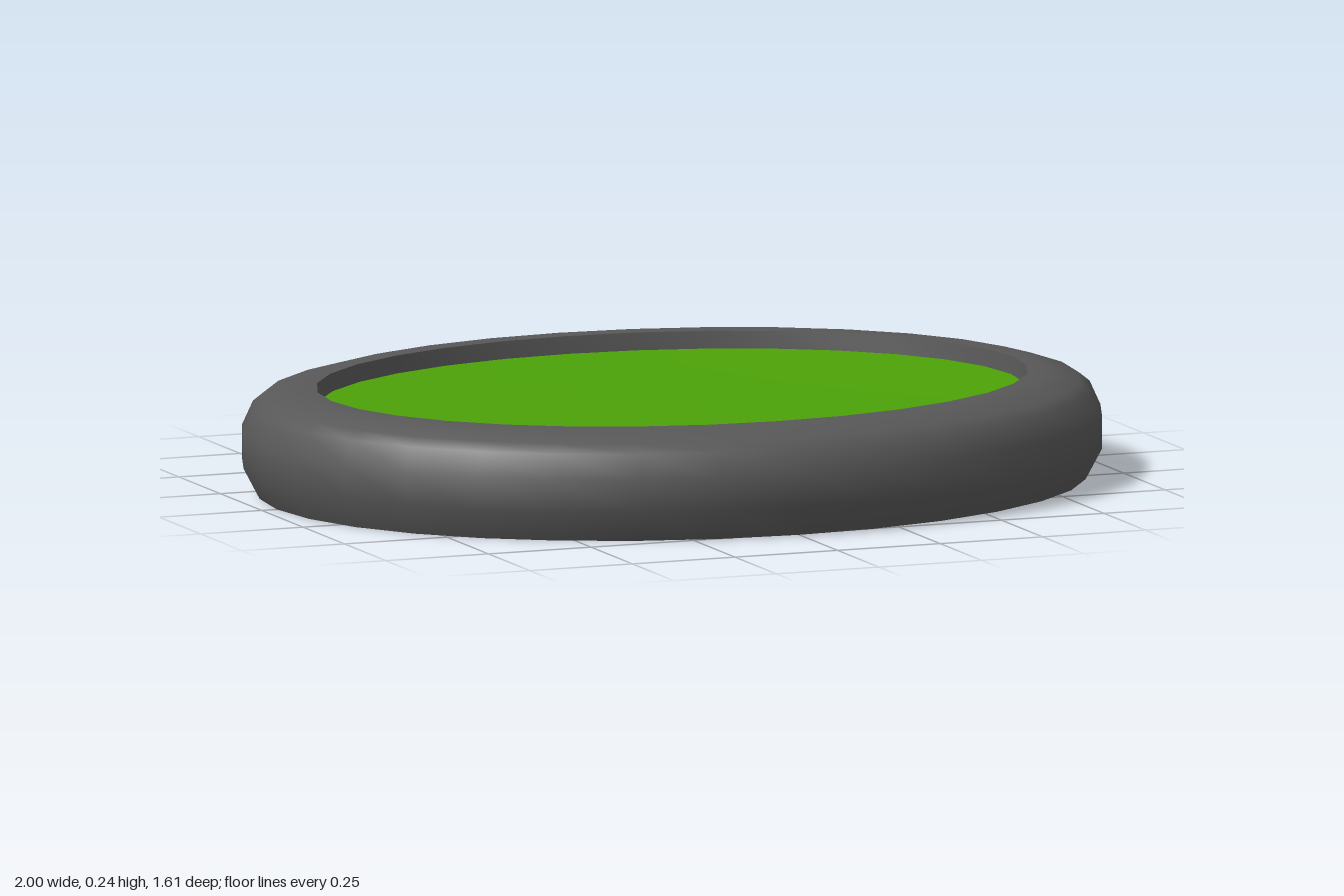
import * as THREE from 'three';
import { toCreasedNormals, mergeVertices } from 'three/addons/utils/BufferGeometryUtils.js';

const SIDES = 32;
const OVAL = 0.195; // how much shorter the oval is in depth than in width

// Sweep a profile around an oval, keeping its width the same all the way round
function ovalSweep(profile) {
  const geo = new THREE.LatheGeometry(profile.map(([r, y]) => new THREE.Vector2(r, y)), SIDES);
  const pos = geo.attributes.position;
  for (let i = 0; i < pos.count; i++) {
    const r = Math.hypot(pos.getX(i), pos.getZ(i));
    pos.setZ(i, pos.getZ(i) * (r - OVAL) / r);
  }
  geo.deleteAttribute('uv');
  geo.deleteAttribute('normal');
  return toCreasedNormals(mergeVertices(geo), 0.8);
}

// Flat oval facing down
function ovalBase(r) {
  const geo = new THREE.CircleGeometry(r, SIDES);
  geo.scale(1, (r - OVAL) / r, 1);
  geo.rotateX(Math.PI / 2);
  return geo;
}

// Shallow oval dish facing up, sinking by dip at its centre
function ovalDish(r, y, dip) {
  const ring = new THREE.RingGeometry(0, r, SIDES, 4);
  const pos = ring.attributes.position;
  for (let i = 0; i < pos.count; i++) {
    const t = Math.hypot(pos.getX(i), pos.getY(i)) / r;
    pos.setZ(i, y - dip * (1 - t * t));
  }
  ring.scale(1, (r - OVAL) / r, 1);
  ring.rotateX(-Math.PI / 2);
  ring.deleteAttribute('uv');
  ring.deleteAttribute('normal');
  const geo = mergeVertices(ring);
  geo.computeVertexNormals();
  return geo;
}

export function createModel() {
  const group = new THREE.Group();
  const dark = new THREE.MeshStandardMaterial({ color: 0x585858 });
  const green = new THREE.MeshStandardMaterial({ color: 0x4ca208 });
  const add = (name, geo, mat) => {
    const mesh = new THREE.Mesh(geo, mat);
    mesh.name = name;
    group.add(mesh);
  };

  // Rounded rim: outer side, flat crown, then the steep inner wall
  add('rim', ovalSweep([
    [0.963, 0], [1, 0.07], [1, 0.145], [0.975, 0.2], [0.95, 0.22],
    [0.88, 0.24], [0.83, 0.24], [0.825, 0.2],
  ]), dark);
  add('base', ovalBase(0.963), dark);

  // Recessed coloured surface
  add('inlay', ovalDish(0.825, 0.2, 0.015), green);
  return group;
}
